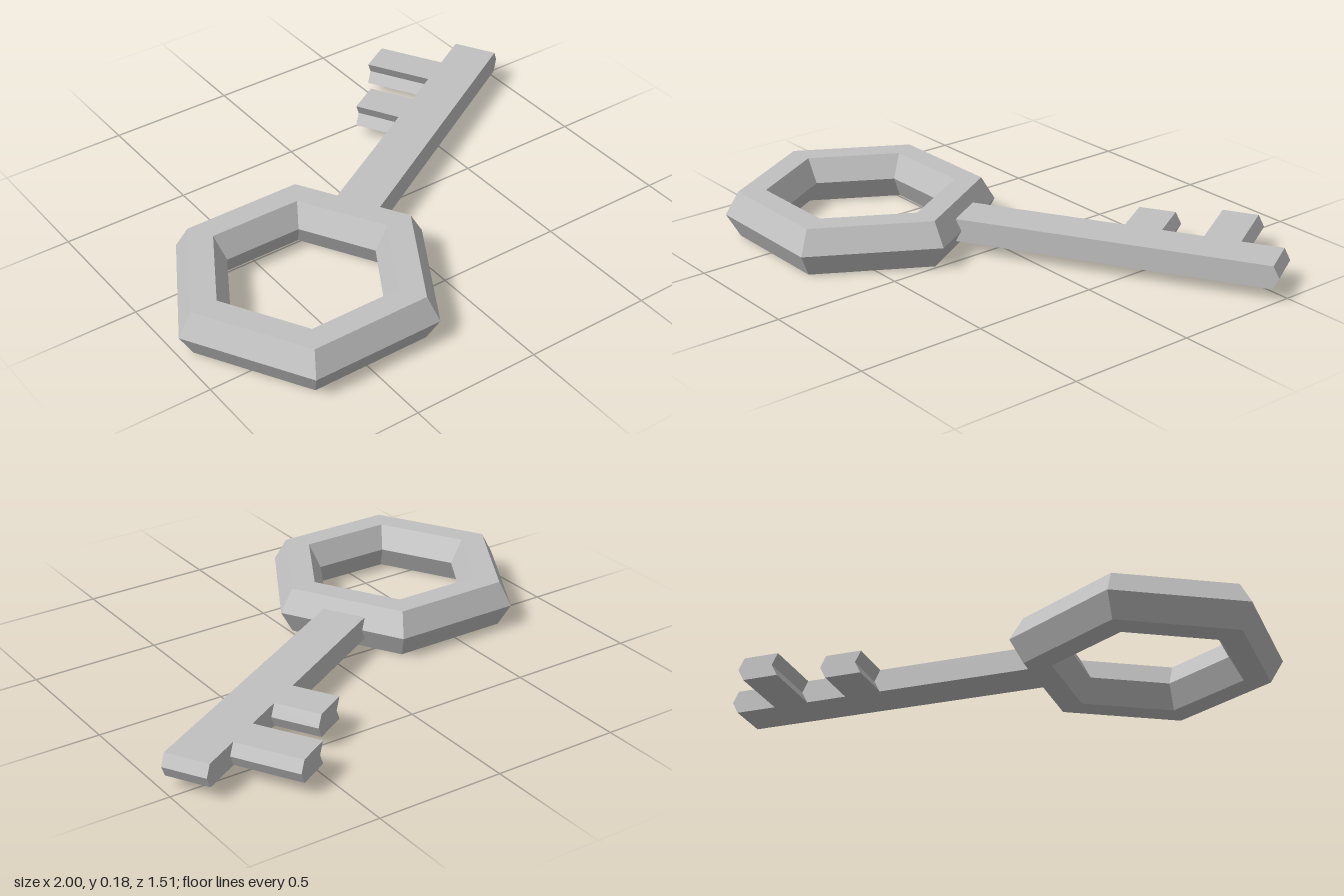
import * as THREE from 'three';

const MID = 0.09; // height of the key's middle plane
const HALF = 0.045; // half thickness of the shaft
const POINT = 0.023; // how far the ridge runs ahead on faces along the shaft

function part(name, geometry, material) {
  const flat = geometry.index ? geometry.toNonIndexed() : geometry;
  flat.computeVertexNormals();
  const mesh = new THREE.Mesh(flat, material);
  mesh.name = name;
  return mesh;
}

export function createModel() {
  const key = new THREE.Group();
  key.name = 'key';
  const metal = new THREE.MeshStandardMaterial({ color: 0xc0c0c0 });
  metal.name = 'grey metal';

  // Six-sided handle with a six-sided cross-section
  const ring = new THREE.TorusGeometry(0.415, 0.105, 6, 6);
  ring.rotateX(-Math.PI / 2);
  key.add(part('handleRing', ring, metal));

  // Shaft and two teeth as one outline: x along the shaft, y across it
  const outline = [
    [0.41, -0.087], [1.637, -0.087], [1.637, 0.087], [1.477, 0.087],
    [1.477, 0.355], [1.338, 0.355], [1.338, 0.087], [1.178, 0.087],
    [1.178, 0.271], [1.035, 0.271], [1.035, 0.087], [0.41, 0.087],
  ];
  const shape = new THREE.Shape(outline.map(([x, y]) => new THREE.Vector2(x, y)));
  const blade = new THREE.ExtrudeGeometry(shape, { depth: 2 * HALF, steps: 2, bevelEnabled: false });
  blade.translate(0, 0, -HALF);

  // Push the middle layer forward so the end and tooth sides are pointed
  const pos = blade.attributes.position;
  for (let i = 0; i < pos.count; i++) {
    const forward = POINT * (1 - Math.abs(pos.getZ(i)) / HALF);
    pos.setX(i, pos.getX(i) + forward);
  }
  blade.rotateX(-Math.PI / 2);
  key.add(part('shaftAndTeeth', blade, metal));

  // Turn the shaft: the handle stays aligned because it repeats every 60 degrees
  key.children[1].rotation.y = Math.PI / 6;
  key.position.set(-0.48, MID + 0.001, 0.305);

  const model = new THREE.Group();
  model.name = 'keyModel';
  model.add(key);
  return model;
}
